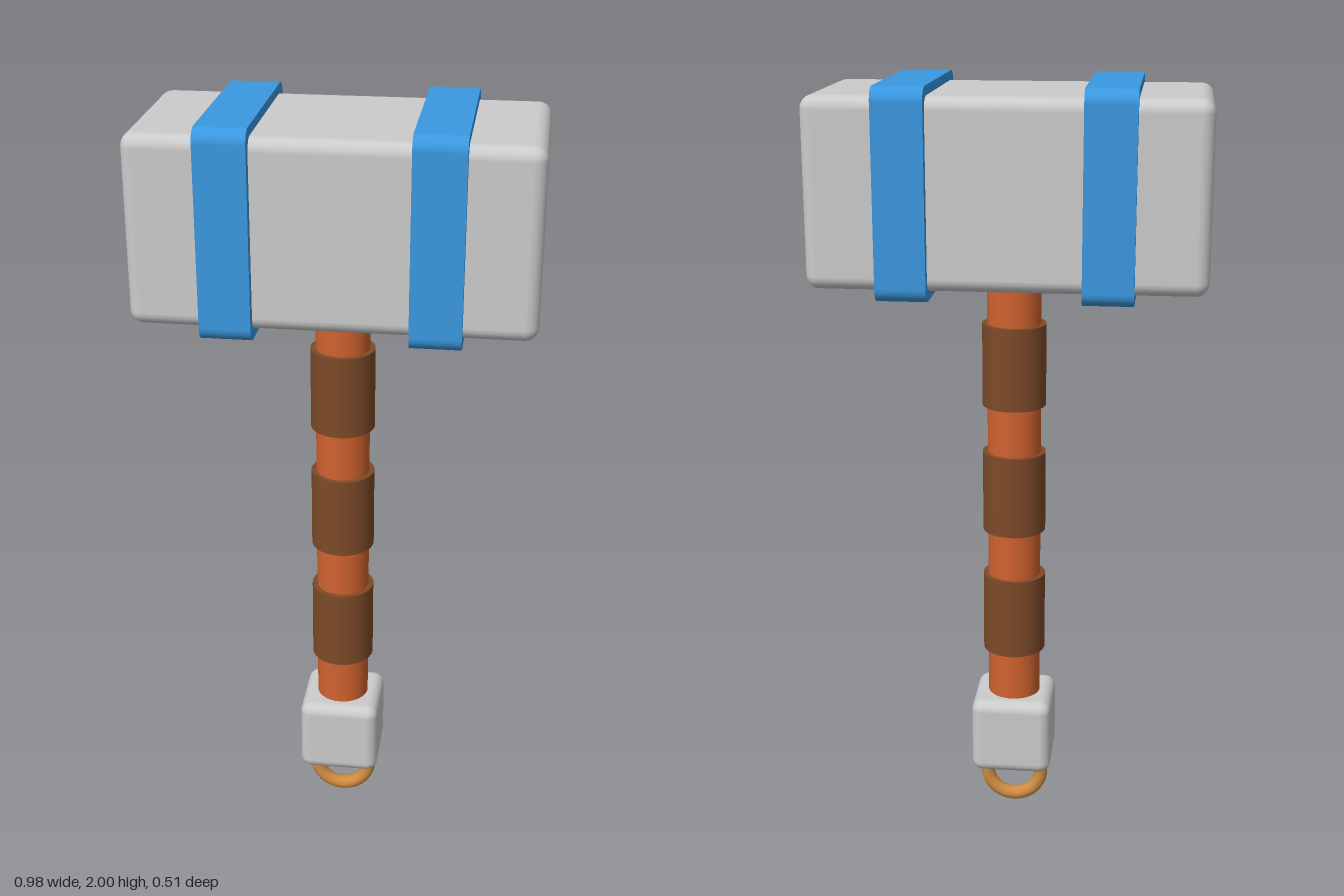
import * as THREE from 'three';
import { RoundedBoxGeometry } from 'three/addons/geometries/RoundedBoxGeometry.js';

const material = (color) => new THREE.MeshStandardMaterial({ color });

// Rounded rectangle centred on the origin, drawn into a Shape or Path
function roundedSquare(path, half, r) {
  const c = half - r;
  path.moveTo(half, -c);
  path.absarc(c, c, r, 0, Math.PI / 2);
  path.absarc(-c, c, r, Math.PI / 2, Math.PI);
  path.absarc(-c, -c, r, Math.PI, Math.PI * 1.5);
  path.absarc(c, -c, r, Math.PI * 1.5, Math.PI * 2);
  path.closePath();
  return path;
}

export function createModel() {
  const model = new THREE.Group();
  model.name = 'hammer';
  const grey = material(0xcccccc);
  const blue = material(0x3a98e0);
  const wood = material(0xd0622f);
  const leather = material(0x7d4a28);
  const brass = material(0xcf8c40);

  function add(name, geometry, mat, x, y, z = 0) {
    const mesh = new THREE.Mesh(geometry, mat);
    mesh.name = name;
    mesh.position.set(x, y, z);
    model.add(mesh);
    return mesh;
  }

  // Head block with softened edges
  const headY = 1.744;
  add('head', new RoundedBoxGeometry(0.98, 0.465, 0.465, 3, 0.033), grey, 0, headY);

  // Two square bands wrapped around the head
  const bandWidth = 0.125;
  const bandShape = roundedSquare(new THREE.Shape(), 0.256, 0.035);
  bandShape.holes.push(roundedSquare(new THREE.Path(), 0.228, 0.03));
  const bandGeometry = new THREE.ExtrudeGeometry(bandShape, {
    depth: bandWidth, bevelEnabled: false, curveSegments: 6,
  });
  bandGeometry.translate(0, 0, -bandWidth / 2).rotateY(Math.PI / 2);
  for (const [name, side] of [['leftBand', 1], ['rightBand', -1]]) {
    add(name, bandGeometry, blue, side * 0.25, headY);
  }

  // Round handle with three grip wraps
  add('handle', new THREE.CylinderGeometry(0.07, 0.07, 1.25, 32), wood, 0, 0.925);
  const gripGeometry = new THREE.CylinderGeometry(0.083, 0.083, 0.217, 32);
  for (let i = 0; i < 3; i++) {
    add('grip' + (i + 1), gripGeometry, leather, 0, 0.59 + i * 0.345);
  }

  // Pommel block and hanging ring
  add('pommel', new RoundedBoxGeometry(0.215, 0.212, 0.215, 3, 0.03), grey, 0, 0.245);
  add('ring', new THREE.TorusGeometry(0.074, 0.019, 12, 40), brass, 0, 0.095);

  return model;
}
